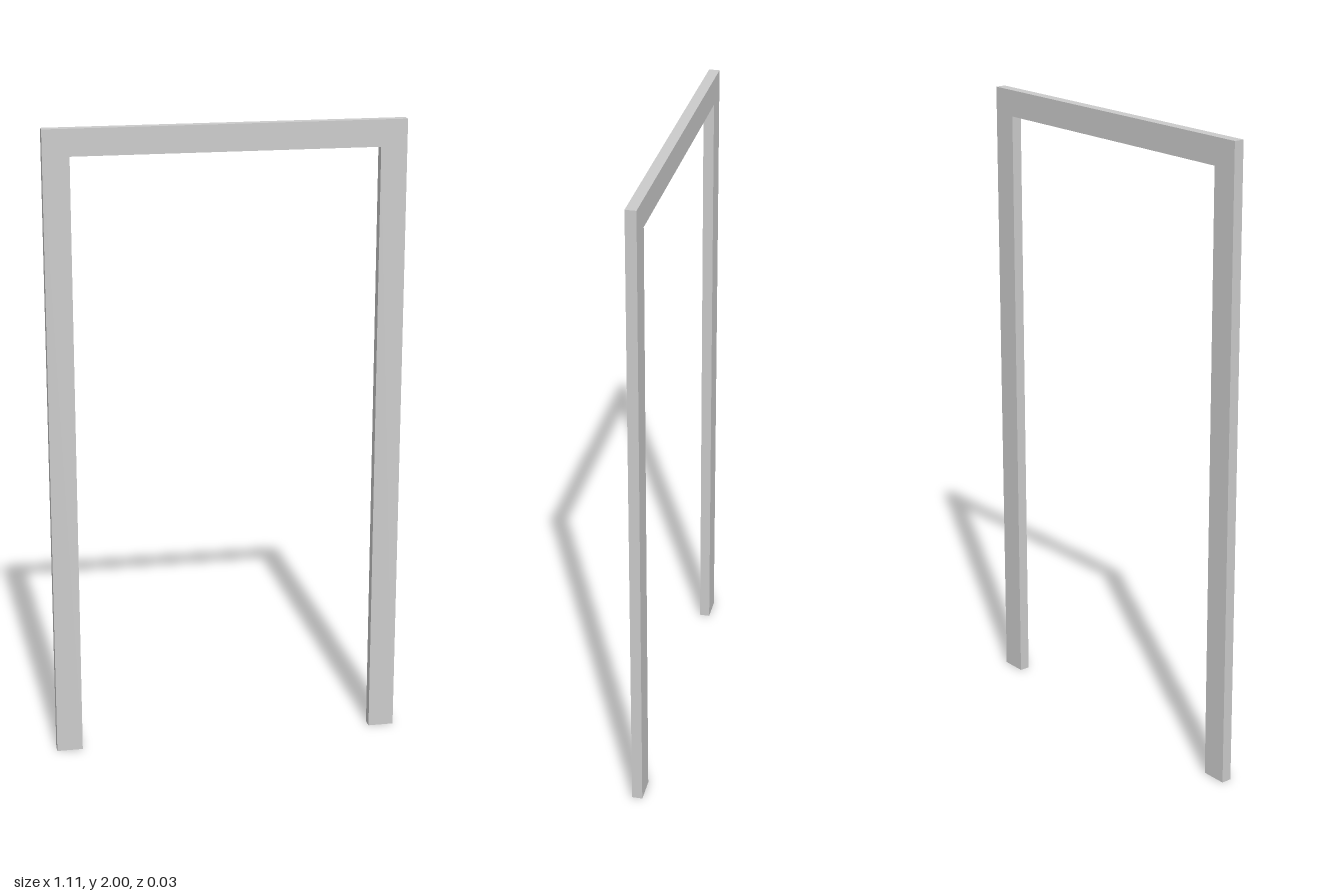
import * as THREE from 'three';

const OUTER = 0.556;  // half width outside
const INNER = 0.474;  // half width of the opening
const TOP = 2;
const HEAD = 1.917;   // underside of the lintel
const DEPTH = 0.033;

export function createModel() {
  const group = new THREE.Group();
  group.name = 'doorFrame';

  // Two jambs and the lintel as one continuous outline
  const outline = new THREE.Shape([
    [-OUTER, 0], [-INNER, 0], [-INNER, HEAD], [INNER, HEAD],
    [INNER, 0], [OUTER, 0], [OUTER, TOP], [-OUTER, TOP],
  ].map(([x, y]) => new THREE.Vector2(x, y)));

  const geometry = new THREE.ExtrudeGeometry(outline, { depth: DEPTH, bevelEnabled: false });
  geometry.translate(0, 0, -DEPTH / 2);

  const frame = new THREE.Mesh(geometry, new THREE.MeshStandardMaterial({ color: 0xcccccc }));
  frame.name = 'jambsAndLintel';
  group.add(frame);
  return group;
}
